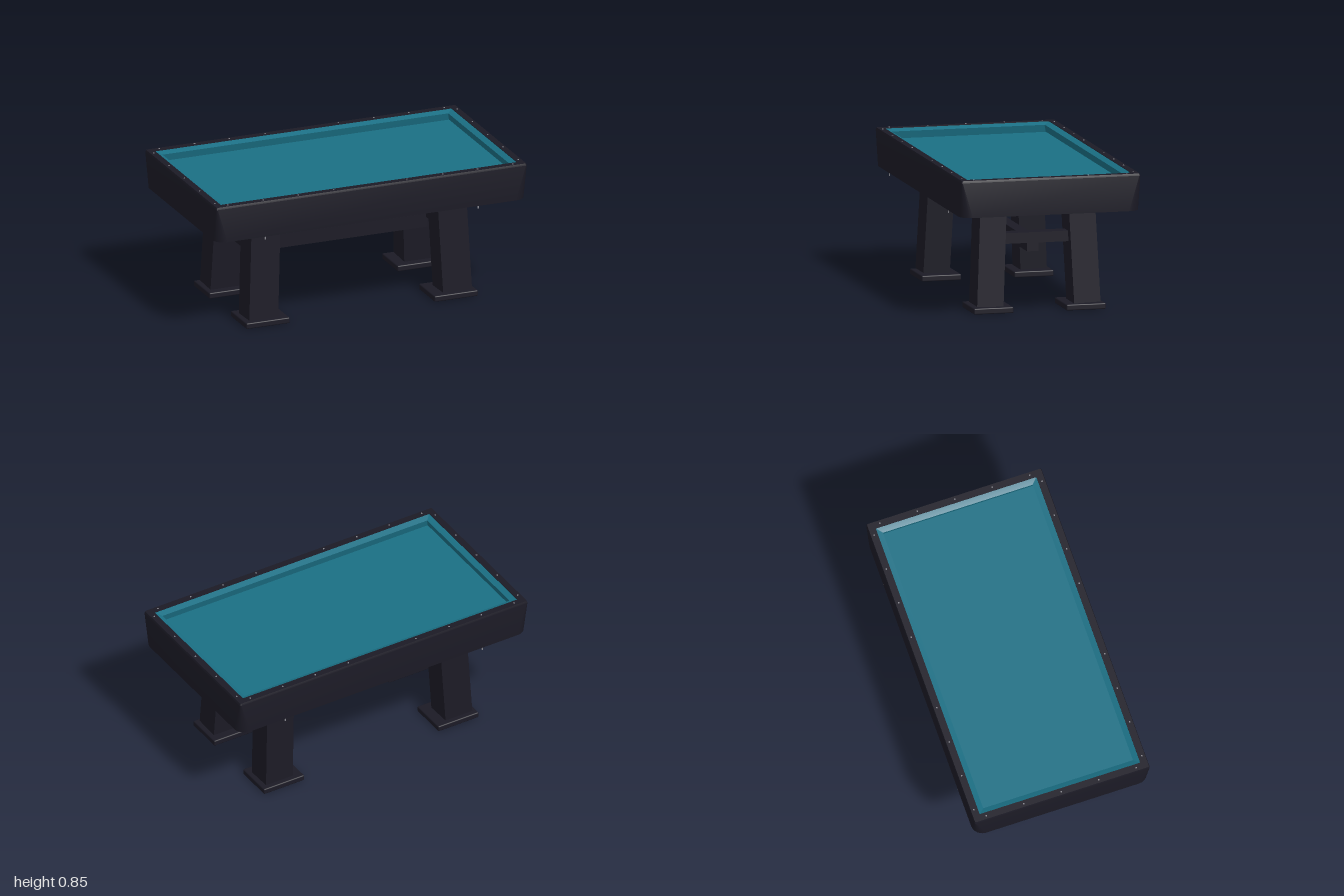
import * as THREE from 'three';
import { toCreasedNormals } from 'three/addons/utils/BufferGeometryUtils.js';
import { RoundedBoxGeometry } from 'three/addons/geometries/RoundedBoxGeometry.js';

const HALF_X = 1, HALF_Z = 0.55, STEPS = 6;

// Rounded rectangle at a given inset from the table's outer edge
function loop([inset, r, y]) {
  const pts = [];
  const cx = HALF_X - inset - r, cz = HALF_Z - inset - r;
  [[1, 1], [-1, 1], [-1, -1], [1, -1]].forEach(([sx, sz], q) => {
    for (let i = 0; i <= STEPS; i++) {
      const a = (q + i / STEPS) * Math.PI / 2;
      pts.push([sx * cx + r * Math.cos(a), y, sz * cz + r * Math.sin(a)]);
    }
  });
  return pts;
}

// Closed ring whose section is a list of [inset, corner radius, height]
function ring(profile) {
  const loops = profile.map(loop), n = loops[0].length, pos = [];
  loops.forEach((lo, j) => {
    const hi = loops[(j + 1) % loops.length];
    for (let i = 0; i < n; i++) {
      const k = (i + 1) % n;
      pos.push(...lo[i], ...hi[i], ...lo[k], ...lo[k], ...hi[i], ...hi[k]);
    }
  });
  const g = new THREE.BufferGeometry();
  g.setAttribute('position', new THREE.Float32BufferAttribute(pos, 3));
  g.computeVertexNormals();
  return toCreasedNormals(g, 0.3);
}

// Box leaning outwards towards the floor, its foot end slightly tilted
function legGeometry(sx, sz) {
  const bottom = 0.036, top = 0.66;
  const g = new THREE.BoxGeometry(0.186, top - bottom, 0.162).toNonIndexed();
  const p = g.attributes.position;
  for (let i = 0; i < p.count; i++) {
    const low = p.getY(i) < 0 ? 1 : 0;
    const outer = p.getZ(i) * sz > 0 ? 0.006 : 0;
    p.setXYZ(i,
      p.getX(i) + sx * (0.597 + 0.027 * low),
      low ? bottom + outer : top,
      p.getZ(i) + sz * (0.27 + 0.028 * low));
  }
  g.computeVertexNormals();
  return g;
}

export function createModel() {
  const material = (name, color) => {
    const m = new THREE.MeshStandardMaterial({ color });
    m.name = name;
    return m;
  };
  const wood = material('darkWood', 0x1b1a25);
  const felt = material('tealFelt', 0x1a6f84);
  const metal = material('paleMetal', 0xb6babf);
  const inlay = material('greyInlay', 0x85858c);

  const table = new THREE.Group();
  table.name = 'gameTable';
  const add = (name, geometry, mat, x = 0, y = 0, z = 0, parent = table) => {
    const m = new THREE.Mesh(geometry, mat);
    m.name = name;
    m.position.set(x, y, z);
    parent.add(m);
    return m;
  };
  const box = (w, h, d) => new THREE.BoxGeometry(w, h, d);

  // Frame: thin skirt below, square corners at the top that round towards the bottom
  add('frame', ring([
    [0, 0.07, 0.627], [0, 0.008, 0.838], [0.004, 0.008, 0.851],
    [0.046, 0.004, 0.851], [0.05, 0.006, 0.78], [0.1, 0.01, 0.72],
    [0.1, 0.01, 0.705], [0.025, 0.03, 0.705], [0.025, 0.05, 0.627],
  ]), wood);

  // Cushions with a sloping top and undercut nose, and the bed
  add('cushions', ring([
    [0.044, 0.003, 0.785], [0.044, 0.003, 0.849], [0.08, 0.003, 0.834], [0.07, 0.003, 0.785],
  ]), felt);
  add('bed', box(1.905, 0.08, 1.005), felt, 0, 0.75, 0);

  // Legs with feet and mounting plates
  for (const sx of [-1, 1]) for (const sz of [-1, 1]) {
    const leg = new THREE.Group();
    leg.name = 'leg';
    table.add(leg);
    add('post', legGeometry(sx, sz), wood, 0, 0, 0, leg);
    add('foot', new RoundedBoxGeometry(0.28, 0.036, 0.243, 2, 0.007), wood, sx * 0.606, 0.018, sz * 0.284, leg);
    add('mountingPlate', box(0.24, 0.055, 0.225), metal, sx * 0.61, 0.6825, sz * 0.28, leg);
    // Small pins under the long sides
    add('pin', box(0.008, 0.022, 0.004), inlay, sx * 0.685, 0.621, sz * 0.547);
  }

  // Stretchers
  for (const sx of [-1, 1]) add('endStretcher', box(0.08, 0.064, 0.42), wood, sx * 0.605, 0.433, 0);
  add('longStretcher', box(1.15, 0.083, 0.07), wood, 0, 0.3795, 0);

  // Sights along the rails
  const dot = new THREE.CylinderGeometry(0.005, 0.005, 0.004, 8);
  for (const s of [-1, 1]) {
    for (const x of [0.235, 0.465, 0.69, 0.917])
      for (const side of [-1, 1]) add('sight', dot, inlay, side * x, 0.852, s * 0.527);
    for (const z of [-0.47, -0.235, 0, 0.235, 0.47]) add('sight', dot, inlay, s * 0.977, 0.852, z);
  }
  return table;
}
